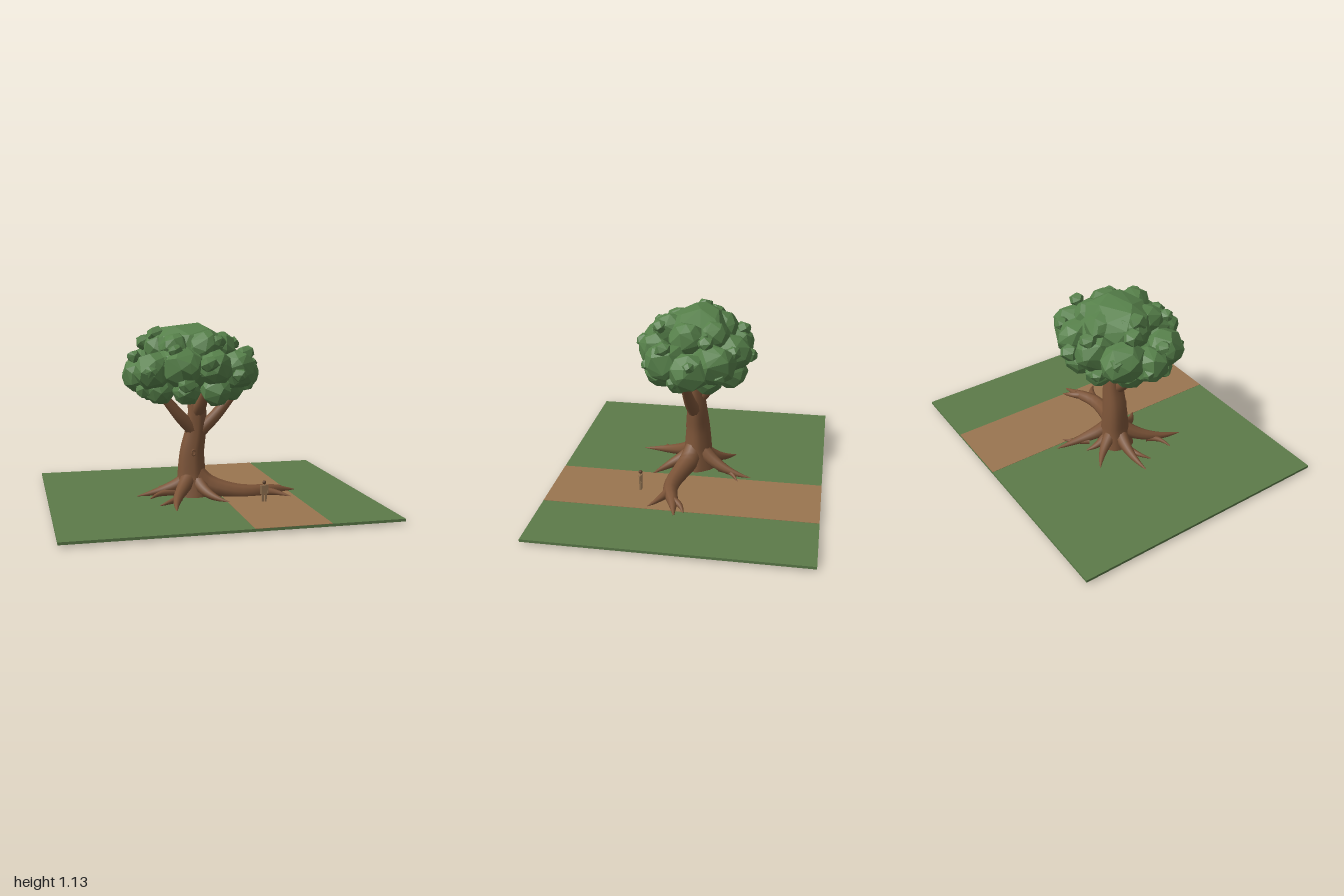
import * as THREE from 'three';
import { mergeVertices } from 'three/addons/utils/BufferGeometryUtils.js';
import { ConvexGeometry } from 'three/addons/geometries/ConvexGeometry.js';

const paint = (name, color) => {
  const m = new THREE.MeshStandardMaterial({ color });
  m.name = name;
  return m;
};

// Small seeded random generator
function seeded(seed) {
  let s = seed * 7919 + 17;
  return () => {
    s = (s * 16807) % 2147483647;
    return s / 2147483647;
  };
}

// Tapered limb through points [x, y, z, radius]; flute adds lengthwise ridges
function limbGeometry(points, sides = 9, steps = 14, flute = 0) {
  const curve = new THREE.CatmullRomCurve3(points.map(p => new THREE.Vector3(p[0], p[1], p[2])));
  const geo = new THREE.TubeGeometry(curve, steps, 1, sides);
  const pos = geo.attributes.position;
  const v = new THREE.Vector3();
  const last = points.length - 1;
  for (let i = 0; i < pos.count; i++) {
    const ring = Math.floor(i / (sides + 1));
    const t = curve.getUtoTmapping(ring / steps) * last;
    const k = Math.min(Math.floor(t), last - 1);
    const ridge = 1 + flute * Math.cos(5 * (i % (sides + 1)) * Math.PI * 2 / sides);
    const r = THREE.MathUtils.lerp(points[k][3], points[k + 1][3], t - k) * ridge;
    const c = curve.getPointAt(ring / steps);
    v.fromBufferAttribute(pos, i).sub(c).multiplyScalar(r).add(c);
    pos.setXYZ(i, v.x, v.y, v.z);
  }
  geo.deleteAttribute('uv');
  geo.deleteAttribute('normal');
  const merged = mergeVertices(geo, 1e-5);
  merged.computeVertexNormals();
  return merged;
}

// Root from (x0, z0) to its tip: sinks quickly, tapers and bends sideways
function rootGeometry(x0, z0, x1, z1, height, radius, bend) {
  const points = [];
  for (let i = 0; i <= 4; i++) {
    const t = i / 4;
    const side = bend * Math.sin(Math.PI * t);
    points.push([
      x0 + (x1 - x0) * t - (z1 - z0) * side,
      0.024 + height * (1 - t) ** 2.6 + 0.014 * Math.sin(Math.PI * t),
      z0 + (z1 - z0) * t + (x1 - x0) * side,
      0.003 + radius * (1 - t) ** 0.9,
    ]);
  }
  return limbGeometry(points);
}

// Irregular faceted clump: hull of jittered points on a sphere
function clumpGeometry(seed, count) {
  const rnd = seeded(seed);
  const pts = [];
  for (let i = 0; i < count; i++) {
    const y = 1 - 2 * (i + 0.5) / count;
    const a = i * 2.39996 + (rnd() - 0.5) * 0.7;
    const p = new THREE.Vector3(Math.cos(a) * Math.sqrt(1 - y * y), y + (rnd() - 0.5) * 0.2, Math.sin(a) * Math.sqrt(1 - y * y));
    pts.push(p.setLength(0.95 + rnd() * 0.1));
  }
  return new ConvexGeometry(pts);
}

export function createModel() {
  const model = new THREE.Group();
  model.name = 'treeScene';
  const grass = paint('grass', 0x5c7b49);
  const dirt = paint('dirt', 0x9a7550);
  const bark = paint('bark', 0x7c5438);
  const leaves = paint('leaves', 0x56804a);
  const cloth = paint('cloth', 0x927352);
  const hair = paint('hair', 0x60432e);

  const add = (parent, name, geo, mat, x = 0, y = 0, z = 0) => {
    const m = new THREE.Mesh(geo, mat);
    m.name = name;
    m.position.set(x, y, z);
    parent.add(m);
    return m;
  };

  // Ground slab with a dirt path strip
  add(model, 'ground', new THREE.BoxGeometry(2, 0.016, 1.7), grass, 0, 0.017, 0);
  add(model, 'path', new THREE.BoxGeometry(0.46, 0.004, 1.7), dirt, 0.32, 0.0245, 0);

  // Trunk
  const wood = new THREE.Group();
  wood.name = 'wood';
  model.add(wood);
  add(wood, 'trunk', limbGeometry([
    [-0.08, 0.015, -0.02, 0.12], [-0.083, 0.14, -0.025, 0.092], [-0.08, 0.3, -0.025, 0.078],
    [-0.055, 0.45, -0.02, 0.066], [-0.048, 0.6, -0.01, 0.056], [-0.06, 0.85, -0.01, 0.045],
  ], 20, 26, 0.05), bark);
  add(wood, 'knot', new THREE.TorusGeometry(0.012, 0.005, 6, 12), bark, -0.085, 0.31, 0.053).scale.y = 1.4;

  // Branches spread from the trunk to an end point inside the crown
  const addBranch = (y, endX, endZ) => add(wood, 'branch', limbGeometry([
    [-0.05, y, -0.01, 0.045], [-0.05 + (endX + 0.05) * 0.4, y + (0.76 - y) * 0.36, endZ * 0.4, 0.039], [endX, 0.76, endZ, 0.022],
  ]), bark);
  addBranch(0.42, -0.34, 0.03);
  addBranch(0.42, 0.25, 0.02);
  addBranch(0.5, -0.06, -0.23);
  addBranch(0.55, -0.02, 0.16);

  // Large root crossing the path, with its two forks
  add(wood, 'largeRoot', limbGeometry([
    [-0.09, 0.2, -0.01, 0.06], [0.0, 0.1, 0.02, 0.068], [0.1, 0.065, 0.06, 0.058], [0.22, 0.045, 0.09, 0.052],
    [0.34, 0.043, 0.09, 0.046], [0.45, 0.04, 0.055, 0.036], [0.6, 0.026, 0.02, 0.004],
  ]), bark);
  const addRoot = (...args) => add(wood, 'root', rootGeometry(...args), bark);
  addRoot(0.45, 0.055, 0.56, -0.03, 0.016, 0.028, -0.1);
  addRoot(0.32, 0.09, 0.52, 0.2, 0.018, 0.036, -0.08);

  // Main roots around the trunk
  addRoot(-0.1, -0.01, -0.44, -0.03, 0.11, 0.05, 0.05);
  addRoot(-0.1, 0, -0.26, 0.38, 0.12, 0.052, 0.08);
  addRoot(-0.06, 0, 0.1, 0.25, 0.12, 0.05, 0.1);
  addRoot(-0.07, -0.04, 0.06, -0.39, 0.14, 0.052, 0.06);
  addRoot(-0.09, -0.04, -0.26, -0.26, 0.12, 0.048, 0.08);
  addRoot(-0.08, -0.04, -0.065, -0.24, 0.12, 0.045, -0.05);

  // Side roots
  addRoot(-0.2, -0.02, -0.37, 0.06, 0.02, 0.026, 0.1);
  addRoot(-0.2, 0.15, -0.34, 0.24, 0.02, 0.024, -0.1);
  addRoot(-0.01, -0.18, 0.12, -0.31, 0.02, 0.024, -0.1);

  // Root end poking out under the slab
  add(wood, 'buriedRoot', new THREE.SphereGeometry(1, 10, 6), bark, -0.01, 0.009, 0.06).scale.set(0.045, 0.009, 0.05);

  // Canopy
  const crown = new THREE.Group();
  crown.name = 'crown';
  model.add(crown);
  let seed = 3;
  const addClump = (name, points, x, y, z, rx, ry, rz) =>
    add(crown, name, clumpGeometry(seed++, points), leaves, x, y, z).scale.set(rx, ry, rz);
  addClump('crownTop', 38, -0.1, 0.965, -0.03, 0.27, 0.165, 0.23);
  addClump('crownCore', 38, -0.1, 0.83, -0.01, 0.32, 0.13, 0.27);
  addClump('crownFront', 34, -0.17, 0.88, 0.14, 0.18, 0.13, 0.15);

  // Rings of clumps: the wide middle, the underside and the shoulders
  const addRing = (count, y, lift, rx, rz, size, start) => {
    for (let i = 0; i < count; i++) {
      const a = start + i / count * Math.PI * 2;
      const s = size * (1 + 0.08 * Math.sin(i * 2.3));
      addClump('leafClump', 32, -0.09 + rx * Math.cos(a), y + lift * Math.abs(Math.sin(a)), -0.01 + rz * Math.sin(a), s, s, s * 1.08);
    }
  };
  addRing(10, 0.81, 0.06, 0.325, 0.245, 0.122, 0);
  addRing(8, 0.735, -0.01, 0.25, 0.235, 0.096, 0.3);
  addRing(6, 0.975, 0.01, 0.19, 0.16, 0.105, 0.2);

  // Small tufts spiralling over the crown
  const tufts = 20;
  for (let i = 0; i < tufts; i++) {
    const h = 0.72 - 1.3 * i / tufts;
    const a = i * 2.39996 + 1.1;
    const w = Math.sqrt(1 - h * h);
    const r = 0.052 + 0.008 * Math.sin(i * 1.7);
    addClump('leafTuft', 16, -0.09 + 0.4 * w * Math.cos(a), 0.85 + 0.24 * h, -0.01 + 0.335 * w * Math.sin(a), r, r * 0.9, r);
  }
  addClump('topTuft', 16, -0.31, 1.055, -0.03, 0.065, 0.06, 0.06);

  // Standing figure for scale
  const figure = new THREE.Group();
  figure.name = 'figure';
  figure.position.set(0.315, 0.026, 0.283);
  model.add(figure);
  add(figure, 'torso', new THREE.BoxGeometry(0.034, 0.05, 0.017), cloth, 0, 0.08, 0);
  add(figure, 'neck', new THREE.CylinderGeometry(0.004, 0.004, 0.012, 8), cloth, 0, 0.109, 0);
  add(figure, 'head', new THREE.SphereGeometry(0.012, 10, 8), hair, 0, 0.122, 0);
  for (const s of [-1, 1]) {
    add(figure, 'arm', new THREE.BoxGeometry(0.008, 0.055, 0.012), cloth, s * 0.023, 0.077, 0);
    add(figure, 'leg', new THREE.BoxGeometry(0.012, 0.056, 0.013), cloth, s * 0.009, 0.028, 0);
  }
  return model;
}
